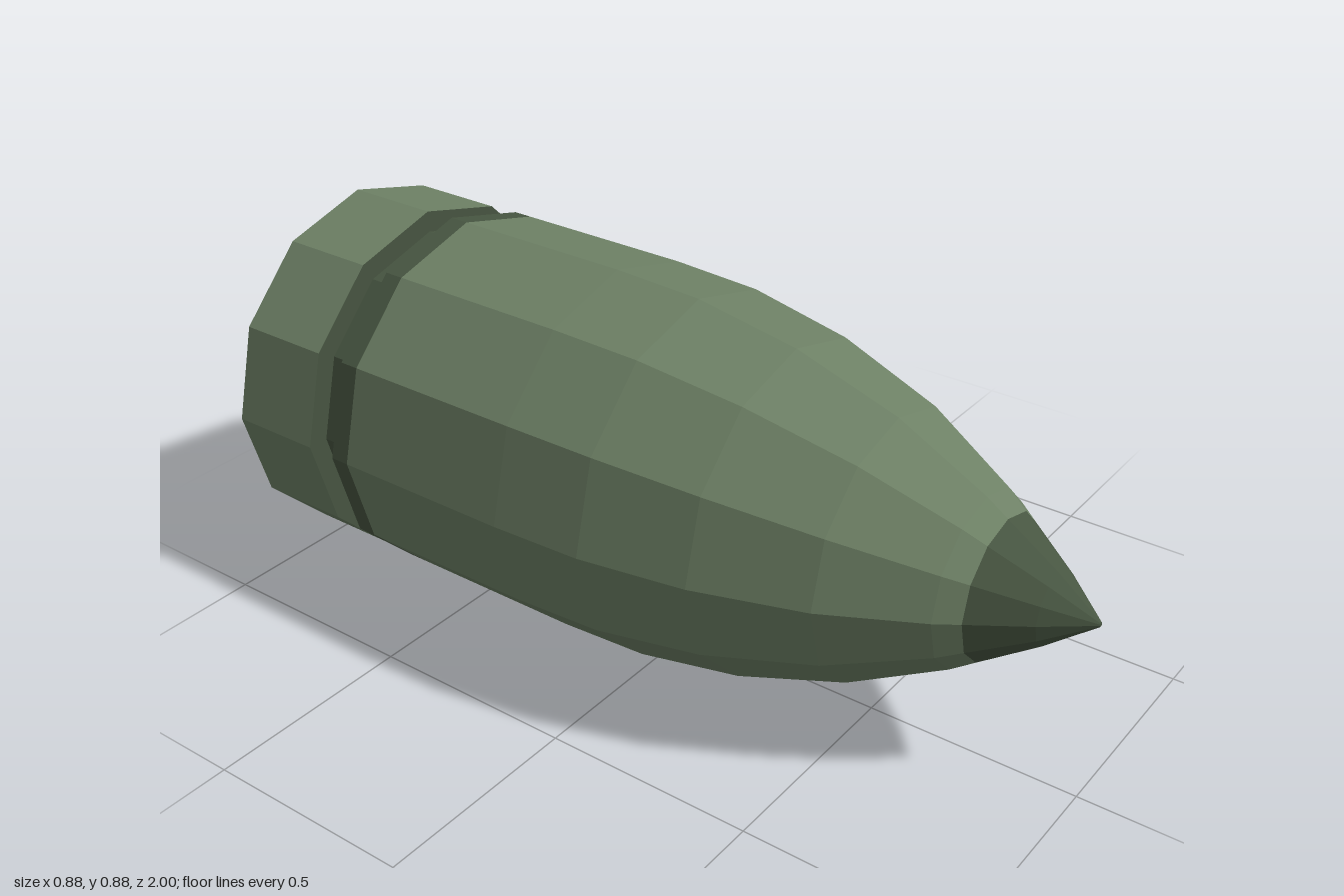
import * as THREE from 'three';

const SIDES = 12;
const RADIUS = 0.44;

export function createModel() {
  const model = new THREE.Group();
  model.name = 'projectile';

  const green = new THREE.MeshStandardMaterial({ color: 0x6d8065, flatShading: true });
  green.name = 'olive green';
  const dark = new THREE.MeshStandardMaterial({ color: 0x475541, flatShading: true });
  dark.name = 'dark olive';

  // Turns a [radius, z] profile, listed from back to front, around the long axis
  function turned(name, material, profile) {
    const points = profile.map(([r, z]) => new THREE.Vector2(r, z));
    const geometry = new THREE.LatheGeometry(points, SIDES);
    geometry.rotateX(Math.PI / 2);
    const mesh = new THREE.Mesh(geometry, material);
    mesh.name = name;
    mesh.position.y = RADIUS;
    model.add(mesh);
  }

  // Flat-backed rear collar
  turned('rearCollar', green, [[0, -1], [0.437, -1], [0.437, -0.768]]);

  // Recessed groove with both of its walls
  turned('groove', dark, [[0.437, -0.768], [0.386, -0.768], [0.386, -0.692], [RADIUS, -0.692]]);

  // Dark stripe on the edge of the body
  turned('bodyStripe', dark, [[RADIUS, -0.692], [RADIUS, -0.645]]);

  // Straight body running into the curved nose
  turned('body', green, [
    [RADIUS, -0.645], [RADIUS, -0.2], [0.431, 0.02], [0.388, 0.27],
    [0.307, 0.52], [0.197, 0.73], [0.163, 0.78],
  ]);

  // Dark pointed tip with a tiny flat end
  turned('tip', dark, [[0.163, 0.78], [0.083, 0.9], [0.005, 1], [0, 1]]);

  return model;
}
